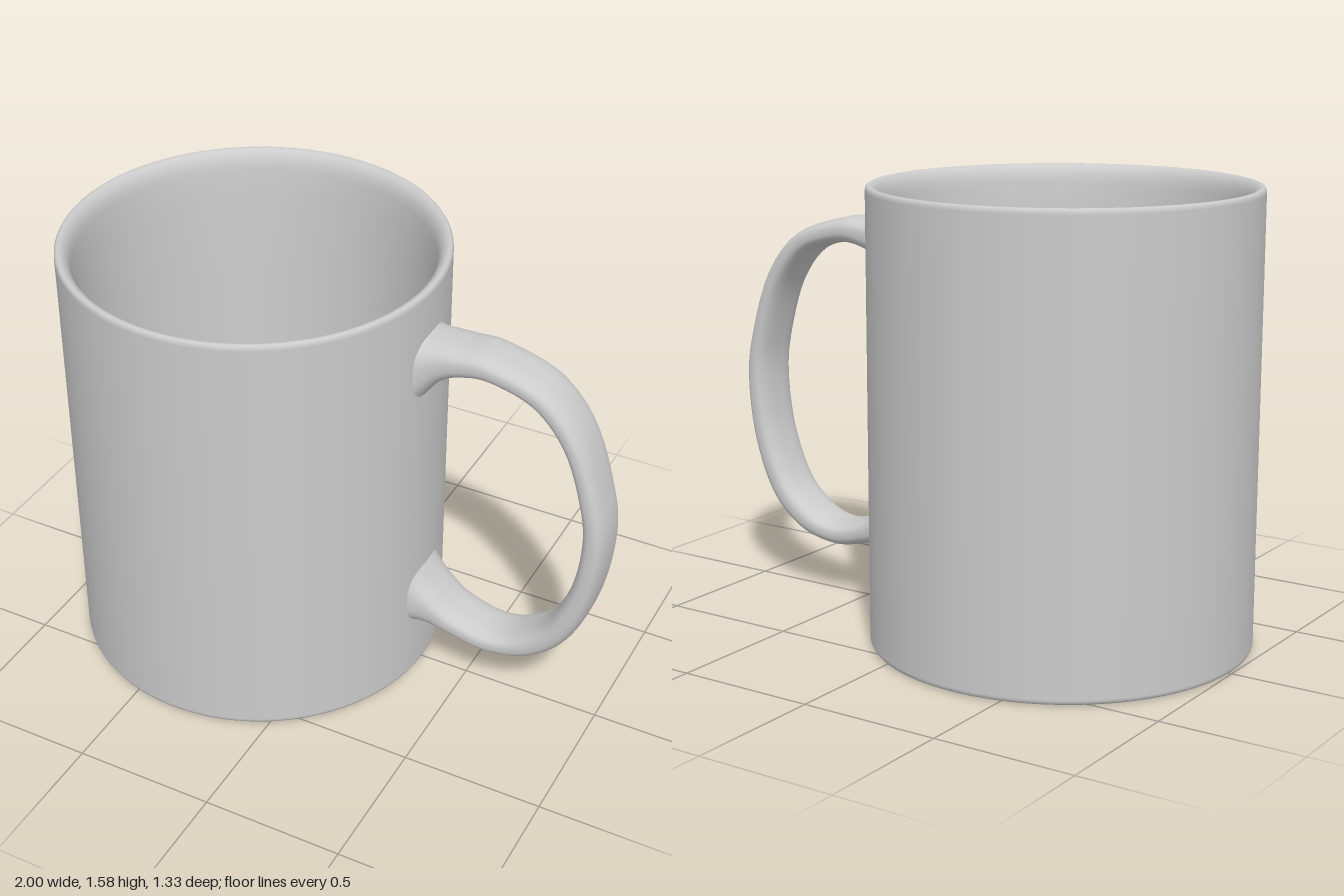
import * as THREE from 'three';

const CENTRE_X = -0.337;

// Cup wall, rim and floor as one turned profile
function createCup(material) {
  const profile = [
    [0, 0], [0.64, 0], [0.65, 0.001], [0.658, 0.005], [0.662, 0.012], [0.663, 0.02],
    [0.663, 1.56], [0.662, 1.57], [0.658, 1.577], [0.652, 1.58], [0.644, 1.579],
    [0.634, 1.573], [0.623, 1.56], [0.615, 1.54], [0.61, 1.51], [0.604, 1.42],
    [0.594, 1.1], [0.578, 0.12], [0.576, 0.1], [0.572, 0.088], [0.562, 0.081],
    [0.55, 0.08], [0, 0.08],
  ].map(([r, y]) => new THREE.Vector2(r, y));
  const cup = new THREE.Mesh(new THREE.LatheGeometry(profile, 128), material);
  cup.name = 'cup';
  cup.position.x = CENTRE_X;
  return cup;
}

// Handle swept between an outer and an inner curve, flaring where it meets the wall
function createHandle(material) {
  // Each row: outer x, outer y, inner x, inner y, half width
  const stations = [
    [0.29, 1.425, 0.29, 1.13, 0.135],
    [0.33, 1.412, 0.33, 1.195, 0.118],
    [0.38, 1.41, 0.385, 1.262, 0.105],
    [0.45, 1.41, 0.46, 1.302, 0.099],
    [0.56, 1.408, 0.57, 1.315, 0.096],
    [0.76, 1.34, 0.72, 1.265, 0.095],
    [0.89, 1.19, 0.83, 1.135, 0.095],
    [0.97, 0.97, 0.895, 0.94, 0.095],
    [1.0, 0.79, 0.913, 0.785, 0.095],
    [0.972, 0.55, 0.888, 0.59, 0.095],
    [0.89, 0.345, 0.815, 0.41, 0.095],
    [0.76, 0.228, 0.71, 0.31, 0.095],
    [0.6, 0.19, 0.6, 0.277, 0.096],
    [0.46, 0.214, 0.47, 0.31, 0.099],
    [0.385, 0.228, 0.39, 0.372, 0.105],
    [0.33, 0.225, 0.33, 0.44, 0.118],
    [0.29, 0.21, 0.29, 0.5, 0.135],
  ];
  const curve = (pick) => new THREE.CatmullRomCurve3(
    stations.map((s) => new THREE.Vector3(...pick(s))), false, 'catmullrom', 0.5);
  const outer = curve((s) => [s[0], s[1], s[4]]);
  const inner = curve((s) => [s[2], s[3], s[4]]);

  const steps = 128, sides = 40;
  const positions = [], indices = [];
  // Rounded cross-section, slightly squarer than an ellipse
  const soften = (v) => Math.sign(v) * Math.abs(v) ** 0.75;
  for (let i = 0; i <= steps; i++) {
    const o = outer.getPoint(i / steps), n = inner.getPoint(i / steps);
    for (let j = 0; j < sides; j++) {
      const a = (j / sides) * Math.PI * 2;
      const k = (1 + soften(Math.cos(a))) / 2;
      positions.push(n.x + (o.x - n.x) * k, n.y + (o.y - n.y) * k, o.z * soften(Math.sin(a)));
      if (i === steps) continue;
      const p = i * sides + j, q = i * sides + (j + 1) % sides;
      indices.push(p, q, p + sides, q, q + sides, p + sides);
    }
  }
  const geometry = new THREE.BufferGeometry();
  geometry.setAttribute('position', new THREE.Float32BufferAttribute(positions, 3));
  geometry.setIndex(indices);
  geometry.computeVertexNormals();
  const handle = new THREE.Mesh(geometry, material);
  handle.name = 'handle';
  return handle;
}

export function createModel() {
  const group = new THREE.Group();
  group.name = 'mug';
  const material = new THREE.MeshStandardMaterial({ color: 0xcccccc });
  group.add(createCup(material), createHandle(material));
  return group;
}
